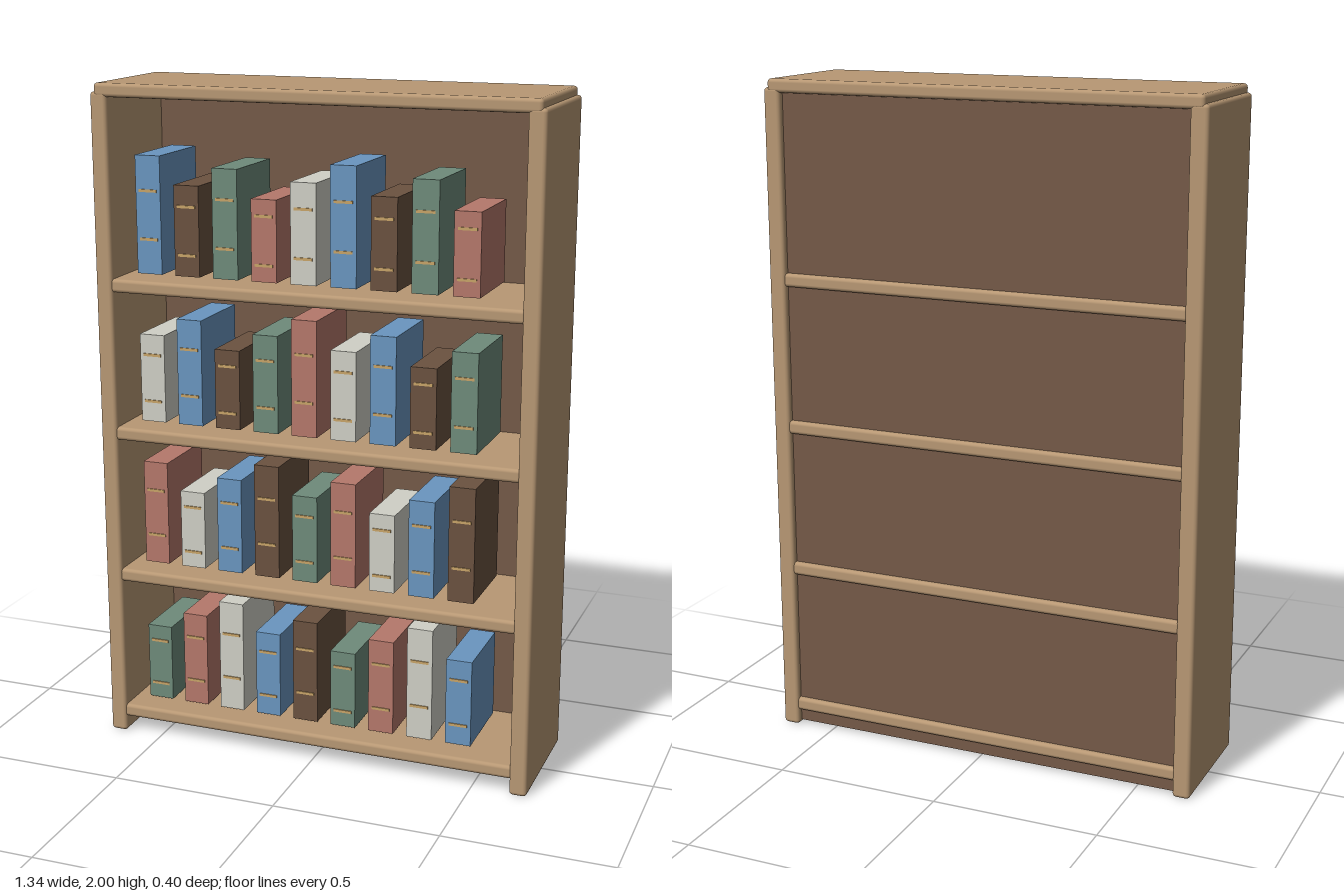
import * as THREE from 'three';
import { RoundedBoxGeometry } from 'three/addons/geometries/RoundedBoxGeometry.js';

const material = (color) => new THREE.MeshStandardMaterial({ color });
const wood = material(0xb89874);
const backWood = material(0x755a48);
const gold = material(0xc9a468);
// green, red, cream, blue, brown
const covers = [0x6f8b7b, 0xb5786b, 0xd0d0c6, 0x6a96c0, 0x6b5240].map(material);

const PITCH = 0.449; // distance from shelf to shelf

function part(name, geometry, mat, x, y, z) {
  const mesh = new THREE.Mesh(geometry, mat);
  mesh.name = name;
  mesh.position.set(x, y, z);
  return mesh;
}

// Board with softly rounded edges
const board = (w, h, d) => new RoundedBoxGeometry(w, h, d, 2, 0.011);

// Upright book whose spine faces the front, with two gilt bands
function makeBook(height, cover) {
  const book = new THREE.Group();
  book.name = 'book';
  book.add(part('cover', new THREE.BoxGeometry(0.078, height, 0.25), cover, 0, height / 2, 0));
  for (const side of [-1, 1]) {
    const band = new THREE.BoxGeometry(0.056, 0.008, 0.006);
    book.add(part('spineBand', band, gold, 0, height / 2 + side * 0.071, 0.125));
  }
  return book;
}

export function createModel() {
  const model = new THREE.Group();
  model.name = 'bookcase';

  // Case: two sides, top and recessed back
  model.add(part('leftSide', board(0.052, 1.975, 0.4), wood, 0.642, 0.9875, 0));
  model.add(part('rightSide', board(0.052, 1.975, 0.4), wood, -0.642, 0.9875, 0));
  model.add(part('top', board(1.312, 0.04, 0.4), wood, 0, 1.98, 0));
  model.add(part('backPanel', new THREE.BoxGeometry(1.25, 1.96, 0.02), backWood, 0, 0.99, -0.17));

  // Shelves, each with nine books whose colours and heights cycle in fives
  for (let row = 0; row < 4; row++) {
    model.add(part('shelf', board(1.25, 0.04, 0.392), wood, 0, 0.068 + row * PITCH, 0));
    const books = new THREE.Group();
    books.name = 'bookRow';
    books.position.y = 0.097 + row * PITCH;
    for (let i = 0; i < 9; i++) {
      const step = (2 * (i - row) + 10) % 5;
      const book = makeBook(0.239 + 0.027 * step, covers[(i + row) % 5]);
      book.position.x = -0.528 + i * 0.1207;
      books.add(book);
    }
    model.add(books);
  }
  return model;
}
